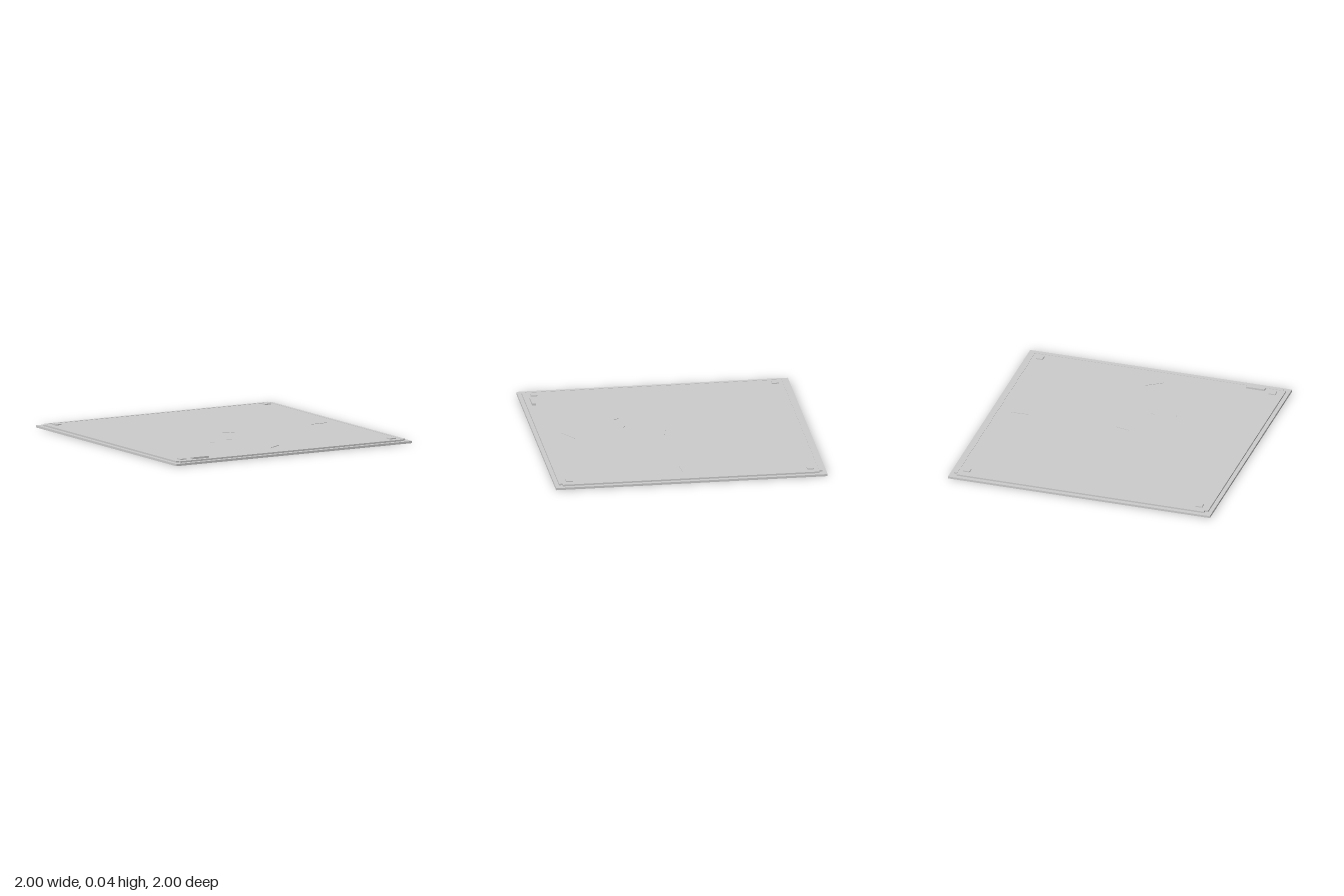
import * as THREE from 'three';

export function createModel() {
  const model = new THREE.Group();
  const material = new THREE.MeshStandardMaterial({ color: 0xcccccc, flatShading: true });

  // Box spanning bottom to top, centred on x and z
  function slab(name, width, depth, bottom, top, x = 0, z = 0, turn = 0) {
    const mesh = new THREE.Mesh(new THREE.BoxGeometry(width, top - bottom, depth), material);
    mesh.name = name;
    mesh.position.set(x, (bottom + top) / 2, z);
    mesh.rotation.y = turn;
    model.add(mesh);
    return mesh;
  }

  // Wide base and raised floor panel
  slab('base', 2, 2, 0, 0.016);
  slab('floorPanel', 1.89, 1.89, 0.016, 0.026);

  // Edge trims that stop short of the corners
  for (const s of [-1, 1]) {
    slab('edgeTrim', 1.89, 0.025, 0.016, 0.028, 0, s * 0.9575);
    slab('edgeTrim', 0.025, 1.89, 0.016, 0.028, s * 0.9575, 0);
    // Corner studs
    for (const t of [-1, 1]) slab('cornerStud', 0.05, 0.05, 0.026, 0.034, s * 0.888, t * 0.888);
  }

  // Small plate at the front edge
  slab('plate', 0.14, 0.03, 0.026, 0.04, -0.75, 0.915);

  // Thin surface scratches, as end points x1, z1, x2, z2
  const scratches = [
    [0.71, 0.05, 0.845, 0.043],
    [-0.055, 0.042, 0.05, 0.063],
    [-0.325, 0.345, -0.3, 0.385],
    [-0.17, 0.318, -0.135, 0.338],
    [-0.085, 0.8, 0.035, 0.72],
  ];
  for (const [x1, z1, x2, z2] of scratches) {
    slab('scratch', Math.hypot(x2 - x1, z2 - z1), 0.004, 0.026, 0.029,
      (x1 + x2) / 2, (z1 + z2) / 2, -Math.atan2(z2 - z1, x2 - x1));
  }
  return model;
}
